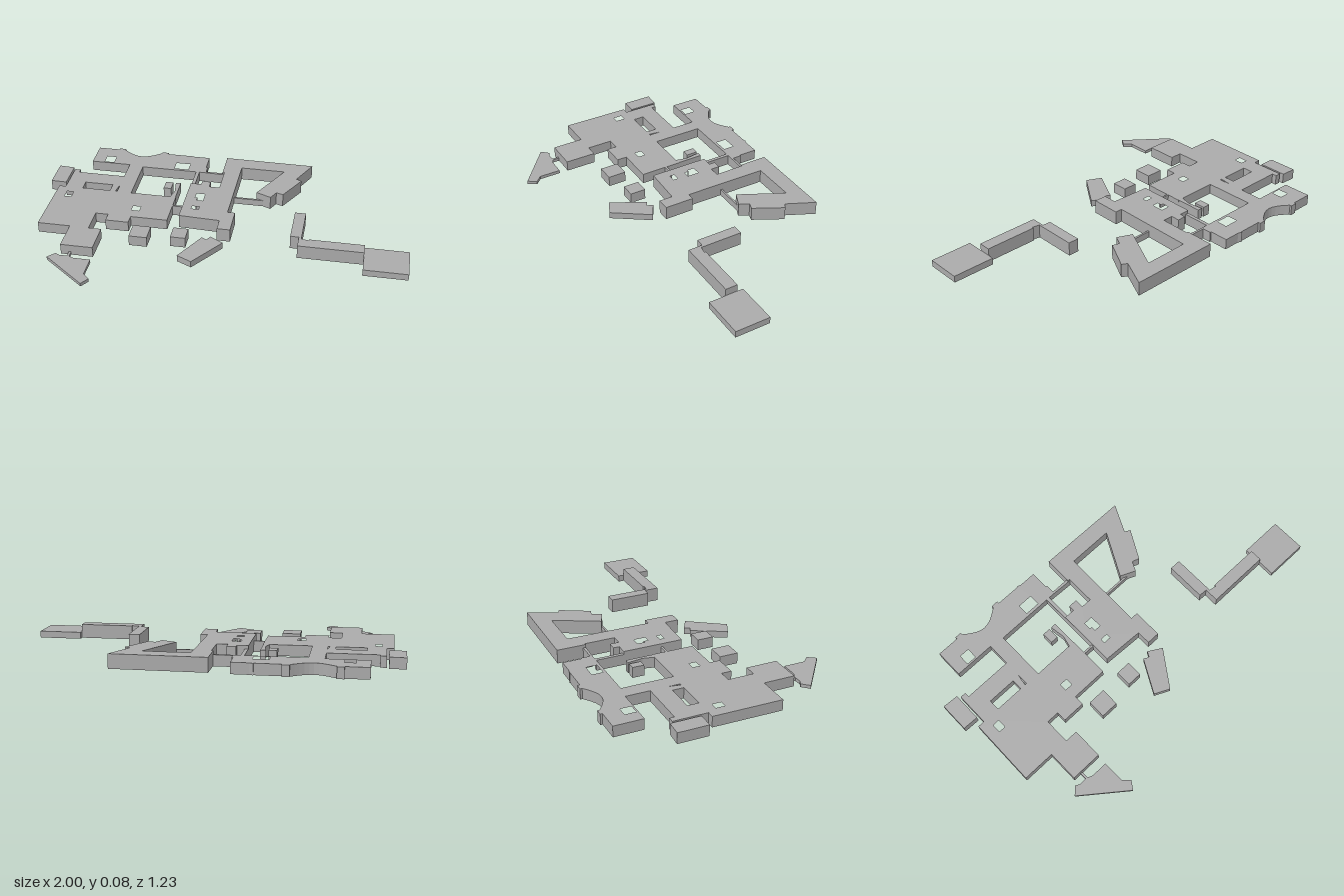
import * as THREE from 'three';

export function createModel() {
  const model = new THREE.Group();
  const grey = new THREE.MeshStandardMaterial({ color: 0xaaaaaa });
  grey.name = 'plain grey';

  // Turns a ground plan of [x, z] corners into a flat-topped block standing on y = 0.
  const toPoints = (plan) => plan.map(([x, z]) => new THREE.Vector2(x, -z));
  const rect = (x0, z0, x1, z1) => [[x0, z0], [x1, z0], [x1, z1], [x0, z1]];
  function block(name, height, plan, holes = []) {
    const shape = new THREE.Shape(toPoints(plan));
    for (const h of holes) shape.holes.push(new THREE.Path(toPoints(h)));
    const geometry = new THREE.ExtrudeGeometry(shape, { depth: height, bevelEnabled: false });
    geometry.rotateX(-Math.PI / 2);
    const mesh = new THREE.Mesh(geometry, grey);
    mesh.name = name;
    model.add(mesh);
  }

  const TALL = 0.075, MID = 0.058, LOW = 0.036, FLAT = 0.018;

  // West range: north wing with curved forecourt, link and main hall
  const forecourt = [];
  for (let i = 0; i <= 10; i++) {
    const t = i / 10;
    forecourt.push([-0.674 + 0.219 * t, -0.607 + 0.054 * Math.sin(Math.PI * t)]);
  }
  block('westRange', MID, [
    [-0.83, -0.607], [-0.71, -0.607], [-0.71, -0.618], [-0.674, -0.618], ...forecourt,
    [-0.455, -0.618], [-0.417, -0.618], [-0.417, -0.605], [-0.283, -0.605], [-0.283, -0.61],
    [-0.262, -0.602], [-0.171, -0.602], [-0.171, -0.441], [-0.53, -0.441], [-0.53, -0.165],
    [-0.278, -0.165], [-0.278, 0.061], [-0.476, 0.061], [-0.476, 0.115], [-0.6, 0.115],
    [-0.6, 0.061], [-0.668, 0.061], [-0.668, 0.2], [-0.945, 0.2], [-0.941, -0.168],
    [-0.61, -0.168], [-0.61, -0.452], [-0.83, -0.452],
  ], [
    rect(-0.76, -0.52, -0.706, -0.462), rect(-0.348, -0.516, -0.267, -0.457),
    rect(-0.882, -0.12, -0.845, -0.072), rect(-0.487, -0.04, -0.444, 0),
  ]);

  // Outbuildings along the west side
  block('westAnnex', MID, [
    [-0.904, -0.35], [-0.872, -0.35], [-0.872, -0.324], [-0.61, -0.324],
    [-0.61, -0.235], [-0.62, -0.168], [-0.65, -0.168], [-0.65, -0.227],
    [-0.807, -0.227], [-0.807, -0.168], [-0.904, -0.168],
  ]);
  block('westTower', MID, [[-1, -0.372], [-0.915, -0.367], [-0.915, -0.209], [-1, -0.211]]);
  block('southPorch', MID, rect(-0.77, 0.2, -0.6, 0.368));

  // Courtyard walls and small blocks
  block('courtyardHut', MID, rect(-0.364, -0.308, -0.322, -0.245));
  block('courtyardWall', MID, [
    [-0.308, -0.308], [-0.28, -0.308], [-0.28, -0.165], [-0.31, -0.165], [-0.296, -0.225],
  ]);
  block('linkWall', MID, rect(-0.278, -0.088, -0.22, -0.077));
  block('innerWall', MID, rect(-0.219, -0.441, -0.2, -0.29));
  block('northLink', MID, [
    [-0.171, -0.5], [-0.163, -0.5], [-0.163, -0.452], [-0.065, -0.452],
    [-0.065, -0.437], [-0.171, -0.441],
  ]);
  block('squareHut', MID, rect(-0.444, 0.136, -0.348, 0.235));
  block('smallHut', MID, rect(-0.23, 0.12, -0.15, 0.206));

  // East range: long wing, slanted arm and inner rooms
  block('eastRange', TALL, [
    [-0.065, -0.592], [0.428, -0.588], [0.355, -0.436], [0.384, -0.42], [0.3, -0.265],
    [0.262, -0.278], [0.236, -0.226], [0.155, -0.262], [0.278, -0.5], [0.035, -0.5],
    [0.03, -0.045], [0.07, -0.045], [0.07, 0.115], [0, 0.115], [0, 0.04], [-0.22, 0.03],
    [-0.219, -0.292], [-0.16, -0.292], [-0.16, -0.324], [-0.112, -0.324], [-0.112, -0.275],
    [-0.055, -0.275], [-0.055, -0.437], [-0.065, -0.437],
  ], [
    [[-0.168, -0.195], [-0.12, -0.195], [-0.12, -0.13], [-0.155, -0.13], [-0.155, -0.155], [-0.168, -0.155]],
    rect(-0.168, -0.07, -0.128, -0.045),
  ]);
  block('eastCourtWall', LOW, rect(0.03, -0.256, 0.21, -0.245));

  // Angled pavilion to the south
  block('angledPavilion', LOW, [
    [-0.073, 0.152], [-0.045, 0.167], [-0.03, 0.137], [0.043, 0.18], [-0.088, 0.368], [-0.168, 0.329],
  ]);

  // Low wedge platform with its path
  block('wedgePlatform', FLAT, [
    [-0.826, 0.43], [-0.79, 0.393], [-0.765, 0.405], [-0.72, 0.403], [-0.69, 0.417],
    [-0.6, 0.417], [-0.6, 0.535], [-0.564, 0.57], [-0.594, 0.614],
  ]);
  block('wedgePath', FLAT, rect(-0.727, 0.368, -0.715, 0.405));

  // Detached corridor leading to the low eastern hall
  block('corridorEnd', TALL, rect(0.385, -0.104, 0.444, 0.053));
  block('corridorCorner', TALL, [
    [0.385, 0.053], [0.444, 0.053], [0.444, 0.13], [0.484, 0.136], [0.484, 0.194],
    [0.43, 0.194], [0.43, 0.117], [0.385, 0.115],
  ]);
  const stops = [0.484, 0.578, 0.674, 0.77];
  for (let i = 0; i < 3; i++) {
    block('corridorBay' + (i + 1), TALL, rect(stops[i], 0.128, stops[i + 1], 0.194));
  }
  block('easternHall', LOW, rect(0.77, 0.096, 1, 0.286));

  return model;
}
